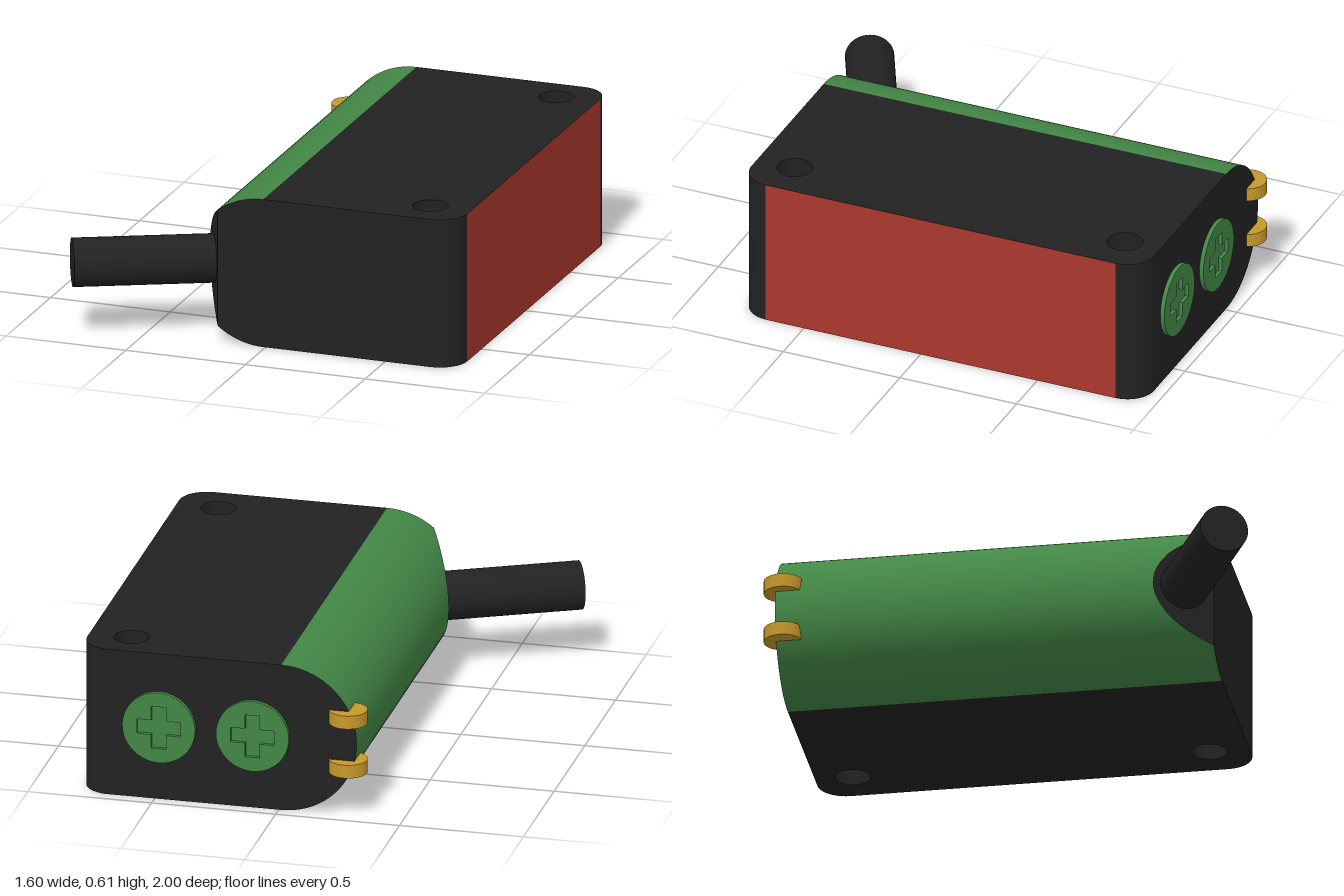
import * as THREE from 'three';
import { toCreasedNormals } from 'three/addons/utils/BufferGeometryUtils.js';

const BACK = -0.95, FRONT = 0.775, RIGHT = 0.8, SEAM = -0.01, R = 0.305, MID = 0.305;
const CUT_X = -0.2, CUT_SLOPE = 1.95; // slanted front corner where the cable enters

const material = (color) => new THREE.MeshStandardMaterial({ color });
const black = material(0x222222), green = material(0x438746), red = material(0xab372d), gold = material(0xc8982a);

function add(group, name, geometry, mat, x = 0, y = 0, z = 0) {
  const mesh = new THREE.Mesh(geometry, mat);
  mesh.name = name;
  mesh.position.set(x, y, z);
  group.add(mesh);
  return mesh;
}

function surface(positions, indices) {
  const g = new THREE.BufferGeometry();
  g.setAttribute('position', new THREE.Float32BufferAttribute(positions, 3));
  if (indices) g.setIndex(indices);
  g.computeVertexNormals();
  return g;
}

// Rounded plate with two through holes, extruded upward
function housingGeometry() {
  const r = 0.112, s = new THREE.Shape();
  s.moveTo(SEAM, -FRONT);
  s.lineTo(RIGHT - r, -FRONT);
  s.absarc(RIGHT - r, -FRONT + r, r, -Math.PI / 2, 0);
  s.lineTo(RIGHT, -BACK - r);
  s.absarc(RIGHT - r, -BACK - r, r, 0, Math.PI / 2);
  s.lineTo(SEAM, -BACK);
  s.closePath();
  for (const z of [-0.8, 0.615]) {
    s.holes.push(new THREE.Path().absarc(0.63, -z, 0.07, 0, Math.PI * 2, true));
  }
  const g = new THREE.ExtrudeGeometry(s, { depth: 2 * R, bevelEnabled: false, curveSegments: 20 });
  g.rotateX(-Math.PI / 2);
  return toCreasedNormals(g, 0.6);
}

// Half-round side: profile runs from the top seam around to the bottom seam
function halfRoundProfile() {
  const tCut = Math.asin((SEAM - CUT_X) / R), steps = 12, angles = [];
  for (let i = 0; i < steps; i++) angles.push((tCut * i) / steps);
  for (let i = 0; i <= steps; i++) angles.push(tCut + ((Math.PI / 2 - tCut) * i) / steps);
  const upper = angles.map((t) => [SEAM - R * Math.sin(t), MID + R * Math.cos(t)]);
  const lower = upper.slice(0, -1).reverse().map(([x, y]) => [x, 2 * MID - y]);
  return [...upper, ...lower];
}

const frontZ = (x) => FRONT - Math.max(0, CUT_X - x) * CUT_SLOPE;

function sideGeometry(profile) {
  const pos = [], idx = [];
  profile.forEach(([x, y], i) => {
    pos.push(x, y, BACK, x, y, frontZ(x));
    if (i < profile.length - 1) {
      const b = 2 * i;
      idx.push(b, b + 2, b + 1, b + 1, b + 2, b + 3);
    }
  });
  return surface(pos, idx);
}

function capGeometry(profile, zAt, facesFront) {
  const pos = [], n = profile.length;
  const put = (...ids) => ids.forEach((i) => pos.push(...profile[i], zAt(profile[i][0])));
  for (let i = 0; i < (n - 1) / 2; i++) {
    const a = i, b = i + 1, c = n - 2 - i, d = n - 1 - i;
    if (facesFront) put(a, b, c, a, c, d);
    else put(a, c, b, a, d, c);
  }
  return surface(pos);
}

// Screw head: disc with a cross-shaped recess, facing the back
function screw(x) {
  const group = new THREE.Group();
  group.name = 'adjustmentScrew';
  const s = new THREE.Shape().absarc(0, 0, 0.147, 0, Math.PI * 2);
  const l = 0.088, w = 0.03;
  const cross = [[w, l], [w, w], [l, w], [l, -w], [w, -w], [w, -l], [-w, -l], [-w, -w], [-l, -w], [-l, w], [-w, w], [-w, l]];
  s.holes.push(new THREE.Path(cross.map(([px, py]) => new THREE.Vector2(px, py))));
  const head = new THREE.ExtrudeGeometry(s, { depth: 0.017, bevelEnabled: false, curveSegments: 32 });
  add(group, 'screwHead', toCreasedNormals(head, 0.6), green, 0, 0, -0.017);
  const floor = add(group, 'screwRecess', new THREE.CircleGeometry(0.13, 32), green, 0, 0, -0.002);
  floor.rotation.y = Math.PI;
  group.position.set(x, MID, BACK);
  return group;
}

export function createModel() {
  const model = new THREE.Group();
  model.name = 'sensorBox';

  // Main housing and red window
  add(model, 'housing', housingGeometry(), black);
  const panel = add(model, 'window', new THREE.PlaneGeometry(1.5, 2 * R), red, RIGHT + 0.001, MID, -0.085);
  panel.rotation.y = Math.PI / 2;

  // Half-round green side with dark end faces
  const profile = halfRoundProfile();
  add(model, 'roundedSide', sideGeometry(profile), green);
  add(model, 'frontEnd', capGeometry(profile, frontZ, true), black);
  add(model, 'backEnd', capGeometry(profile, () => BACK, false), black);

  // Screws on the back
  for (const x of [0.102, 0.48]) model.add(screw(x));

  // Gold contact discs on the back corner
  for (const y of [0.205, 0.412]) {
    add(model, 'contactDisc', new THREE.CylinderGeometry(0.076, 0.076, 0.055, 40), gold, -0.275, y, -0.924);
  }

  // Cable leaving square to the slanted corner
  const start = new THREE.Vector3(-0.22, MID, 0.648), end = new THREE.Vector3(-0.757, MID, 0.91);
  const axis = end.clone().sub(start);
  const cable = add(model, 'cable', new THREE.CylinderGeometry(0.097, 0.097, axis.length(), 40), black);
  cable.position.copy(start).add(end).multiplyScalar(0.5);
  cable.quaternion.setFromUnitVectors(new THREE.Vector3(0, 1, 0), axis.normalize());

  return model;
}
